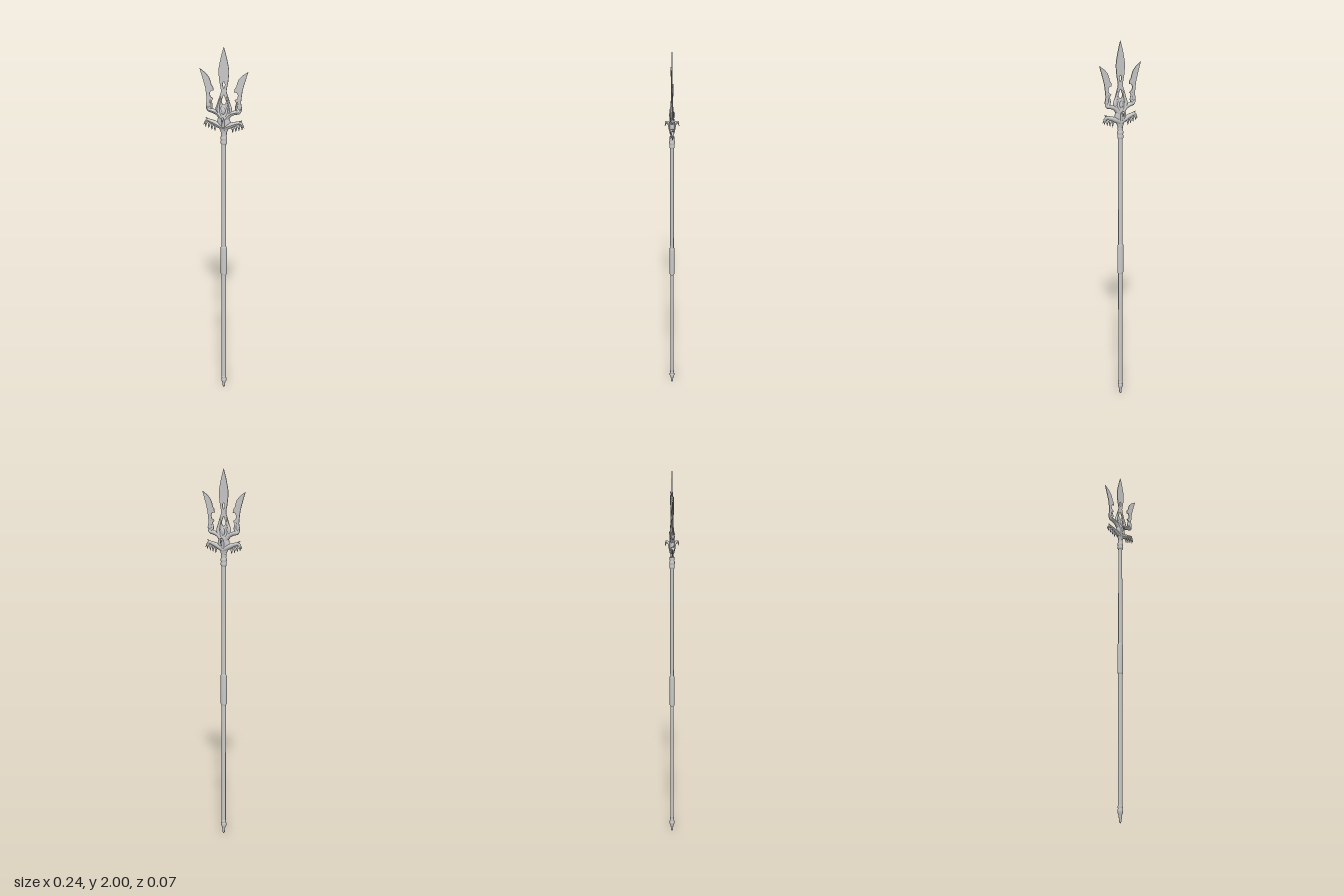
import * as THREE from 'three';

const material = new THREE.MeshStandardMaterial({ color: 0xcccccc, side: THREE.DoubleSide });
const V = (x, y, z = 0) => new THREE.Vector3(x, y, z);

function add(parent, name, geometry) {
  const mesh = new THREE.Mesh(geometry, material);
  mesh.name = name;
  parent.add(mesh);
  return mesh;
}

// Turned part from [radius, height] pairs, flattened in depth
function turned(parent, name, profile, depth = 0.75, sides = 24) {
  const points = profile.map(([r, y]) => new THREE.Vector2(r, y));
  const mesh = add(parent, name, new THREE.LatheGeometry(points, sides));
  mesh.scale.z = depth;
  return mesh;
}

// Thin flat plate centred on z = 0
function plate(parent, name, outline, holes = [], depth = 0.004) {
  const toV2 = ([x, y]) => new THREE.Vector2(x, y);
  const shape = new THREE.Shape(outline.map(toV2));
  holes.forEach(h => shape.holes.push(new THREE.Path(h.map(toV2))));
  const g = new THREE.ExtrudeGeometry(shape, { depth, bevelEnabled: false });
  g.translate(0, 0, -depth / 2);
  return add(parent, name, g);
}

// Tube whose radius follows a list of values along the path
function horn(parent, name, path, radii, depth = 1) {
  const curve = new THREE.CatmullRomCurve3(path);
  const steps = 20, sides = 10;
  const g = new THREE.TubeGeometry(curve, steps, 1, sides);
  const pos = g.attributes.position, p = V(0, 0);
  for (let i = 0; i <= steps; i++) {
    const c = curve.getPointAt(i / steps);
    const f = i / steps * (radii.length - 1);
    const k = Math.min(Math.floor(f), radii.length - 2);
    const r = THREE.MathUtils.lerp(radii[k], radii[k + 1], f - k);
    for (let j = 0; j <= sides; j++) {
      const n = i * (sides + 1) + j;
      p.fromBufferAttribute(pos, n).sub(c).multiplyScalar(r);
      pos.setXYZ(n, c.x + p.x, c.y + p.y, c.z + p.z * depth);
    }
  }
  g.computeVertexNormals();
  return add(parent, name, g);
}

// Smooth the right-hand edge and mirror it into a closed outline
function symmetric(edge) {
  const curve = new THREE.SplineCurve(edge.map(([x, y]) => new THREE.Vector2(x, y)));
  const right = curve.getPoints(40).map(p => [Math.max(p.x, 0), p.y]);
  const left = right.slice(1, -1).reverse().map(([x, y]) => [-x, y]);
  return [...right, ...left];
}

export function createModel() {
  const model = new THREE.Group();
  model.name = 'trident';

  // Pole, grip and butt
  turned(model, 'shaft', [[0.0125, 0.07], [0.0125, 1.54]]);
  turned(model, 'grip', [[0.0125, 0.765], [0.0175, 0.772], [0.0175, 0.93], [0.0125, 0.937]]);
  turned(model, 'pommel', [[0, 0], [0.006, 0.008], [0.008, 0.03], [0.010, 0.042],
    [0.015, 0.052], [0.015, 0.066], [0.011, 0.07], [0.014, 0.075], [0.014, 0.082], [0.012, 0.084]], 0.9);

  // Stacked collar rings and the head's core
  turned(model, 'collar', [[0.012, 1.515], [0.016, 1.52], [0.016, 1.533], [0.013, 1.537],
    [0.0165, 1.542], [0.0165, 1.553], [0.013, 1.557], [0.015, 1.565], [0.015, 1.575]], 0.85);
  turned(model, 'core', [[0.014, 1.57], [0.018, 1.585], [0.03, 1.61], [0.034, 1.635],
    [0.028, 1.66], [0.022, 1.685], [0.016, 1.705], [0, 1.72]], 0.4);

  // Central blade with an eyelet
  plate(model, 'centralBlade',
    symmetric([[0, 2], [0.012, 1.96], [0.023, 1.91], [0.026, 1.88], [0.022, 1.835],
      [0.014, 1.79], [0.02, 1.765], [0.03, 1.735], [0.036, 1.705], [0.025, 1.68], [0, 1.66]]),
    [symmetric([[0, 1.837], [0.006, 1.82], [0, 1.80]]),
      symmetric([[0, 1.77], [0.011, 1.74], [0.008, 1.725], [0, 1.718]])]);

  for (const s of [1, -1]) {
    const side = new THREE.Group();
    side.name = s > 0 ? 'leftSide' : 'rightSide';
    model.add(side);
    const at = (x, y, z) => V(s * x, y, z);

    // Barbed outer prong
    plate(side, 'sideProng', [[0.122, 1.89], [0.112, 1.858], [0.102, 1.825], [0.094, 1.795],
      [0.09, 1.765], [0.087, 1.735], [0.092, 1.71], [0.085, 1.685], [0.06, 1.685], [0.058, 1.71],
      [0.066, 1.73], [0.054, 1.745], [0.069, 1.755], [0.072, 1.772], [0.065, 1.785],
      [0.052, 1.785], [0.055, 1.803], [0.063, 1.813], [0.067, 1.83], [0.075, 1.85],
      [0.093, 1.87]].map(([x, y]) => [s * x, y]));

    // Upper arm carrying the prong, with a curled end
    horn(side, 'upperArm', [at(0.005, 1.64), at(0.03, 1.672), at(0.058, 1.684), at(0.08, 1.69), at(0.092, 1.71)],
      [0.014, 0.013, 0.011, 0.011, 0.001], 0.9);
    horn(side, 'armSpur', [at(0.078, 1.69), at(0.065, 1.705), at(0.068, 1.73), at(0.078, 1.755)],
      [0.009, 0.007, 0.005, 0.0005], 0.8);

    // Braces rising to the central blade
    horn(side, 'bladeBrace', [at(0.02, 1.66), at(0.032, 1.695), at(0.022, 1.735), at(0.01, 1.775)],
      [0.011, 0.01, 0.006, 0.001], 0.9);

    // Lower wing and its drooping feathers
    horn(side, 'wing', [at(0, 1.60), at(0.03, 1.615), at(0.06, 1.627), at(0.085, 1.632), at(0.106, 1.608)],
      [0.014, 0.014, 0.011, 0.008, 0.0005], 0.9);
    horn(side, 'wingCrest', [at(0.065, 1.625), at(0.08, 1.637), at(0.095, 1.648)],
      [0.009, 0.006, 0.0005], 0.8);
    for (let i = 0; i < 4; i++) {
      const x = 0.034 + i * 0.016, y = 1.613 + i * 0.006;
      horn(side, 'feather', [at(x, y), at(x + 0.011, y - 0.013), at(x + 0.012, y - 0.034)],
        [0.008, 0.006, 0.0005], 0.7);
    }
  }

  // Hooks and bosses on the front and back
  for (const s of [1, -1]) {
    horn(model, s > 0 ? 'frontHook' : 'backHook',
      [V(0, 1.61, s * 0.006), V(0, 1.645, s * 0.016), V(0, 1.655, s * 0.027), V(0, 1.633, s * 0.035)],
      [0.009, 0.008, 0.006, 0.001]);
    const boss = add(model, s > 0 ? 'frontBoss' : 'backBoss', new THREE.SphereGeometry(1, 16, 12));
    boss.scale.set(0.011, 0.018, 0.006);
    boss.position.set(0, 1.69, s * 0.008);
  }

  return model;
}
